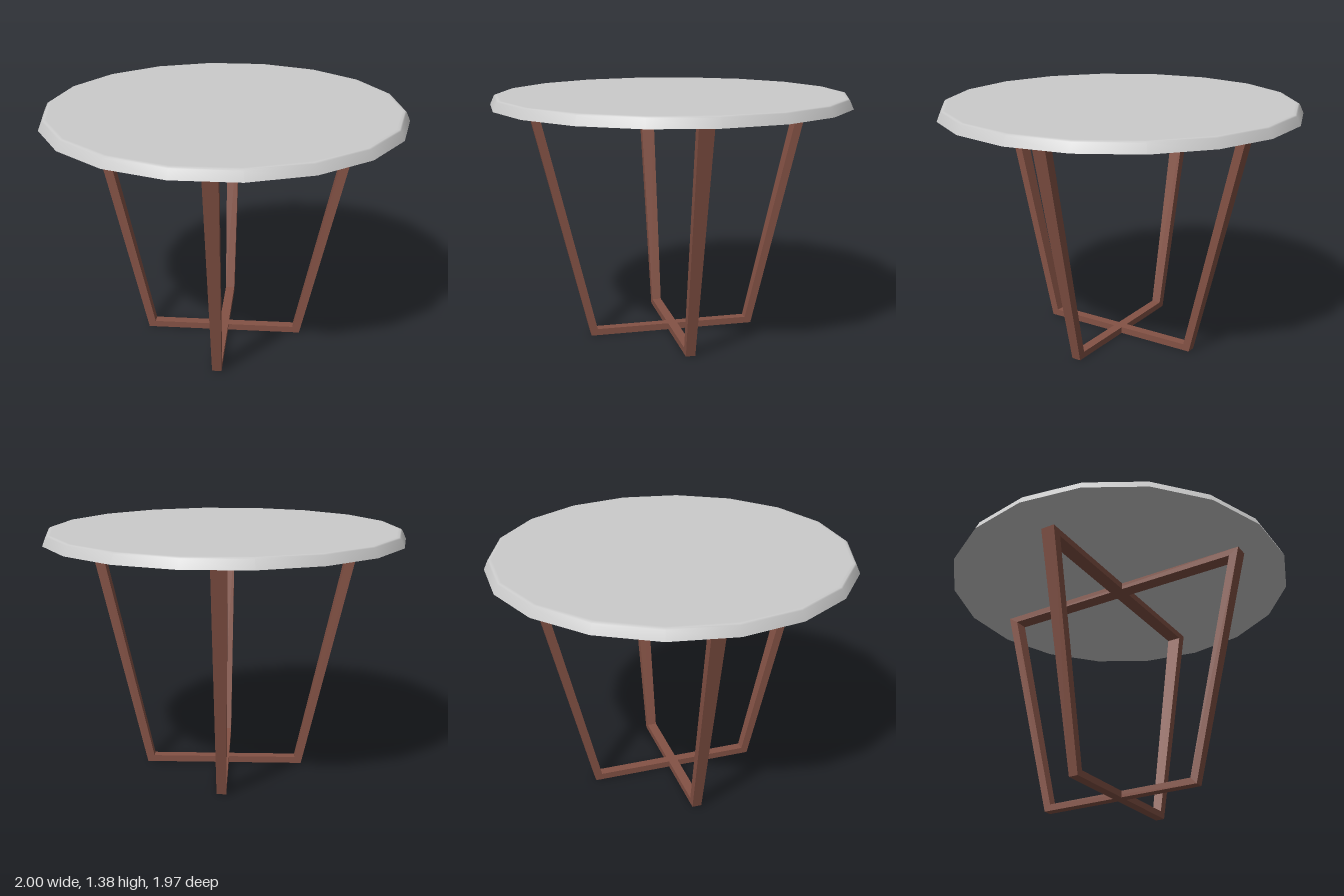
import * as THREE from 'three';

const HEIGHT = 1.325; // underside of the table top

const wood = new THREE.MeshStandardMaterial({ color: 0x845245, flatShading: true });
const grey = new THREE.MeshStandardMaterial({ color: 0xcccccc });

// Closed trapezoid frame that tapers in width and in thickness towards the floor
function makeFrame(name, outerTop, outerBottom, innerTop, innerBottom) {
  const trapezoid = (path, bottom, top, y0, y1) => {
    path.moveTo(-bottom, y0);
    path.lineTo(bottom, y0);
    path.lineTo(top, y1);
    path.lineTo(-top, y1);
    path.closePath();
    return path;
  };
  const shape = trapezoid(new THREE.Shape(), outerBottom, outerTop, 0, HEIGHT);
  shape.holes.push(trapezoid(new THREE.Path(), innerBottom, innerTop, 0.037, 1.286));

  const geometry = new THREE.ExtrudeGeometry(shape, { depth: 2, bevelEnabled: false });
  geometry.translate(0, 0, -1);
  const pos = geometry.attributes.position;
  for (let i = 0; i < pos.count; i++) {
    const halfThickness = THREE.MathUtils.lerp(0.0265, 0.0415, pos.getY(i) / HEIGHT);
    pos.setZ(i, pos.getZ(i) * halfThickness);
  }
  geometry.computeVertexNormals();

  const mesh = new THREE.Mesh(geometry, wood);
  mesh.name = name;
  return mesh;
}

// Eighteen-sided top with a sloping, softened rim
function makeTableTop() {
  const profile = [
    [0, HEIGHT], [1, HEIGHT],
    [1, HEIGHT], // repeated to keep the lower edge sharp
    [0.978, 1.373], [0.97, 1.379], [0.955, 1.38], [0, 1.38],
  ].map(([r, y]) => new THREE.Vector2(r, y));
  const mesh = new THREE.Mesh(new THREE.LatheGeometry(profile, 18), grey);
  mesh.rotation.y = Math.PI / 2; // corners on the x axis
  mesh.name = 'tableTop';
  return mesh;
}

export function createModel() {
  const table = new THREE.Group();
  table.name = 'roundTable';

  // Two frames crossing at right angles
  const sideFrame = makeFrame('sideToSideFrame', 0.75, 0.45, 0.687, 0.412);
  const depthFrame = makeFrame('frontToBackFrame', 0.798, 0.479, 0.739, 0.443);
  depthFrame.rotation.y = Math.PI / 2;

  table.add(makeTableTop(), sideFrame, depthFrame);
  return table;
}
